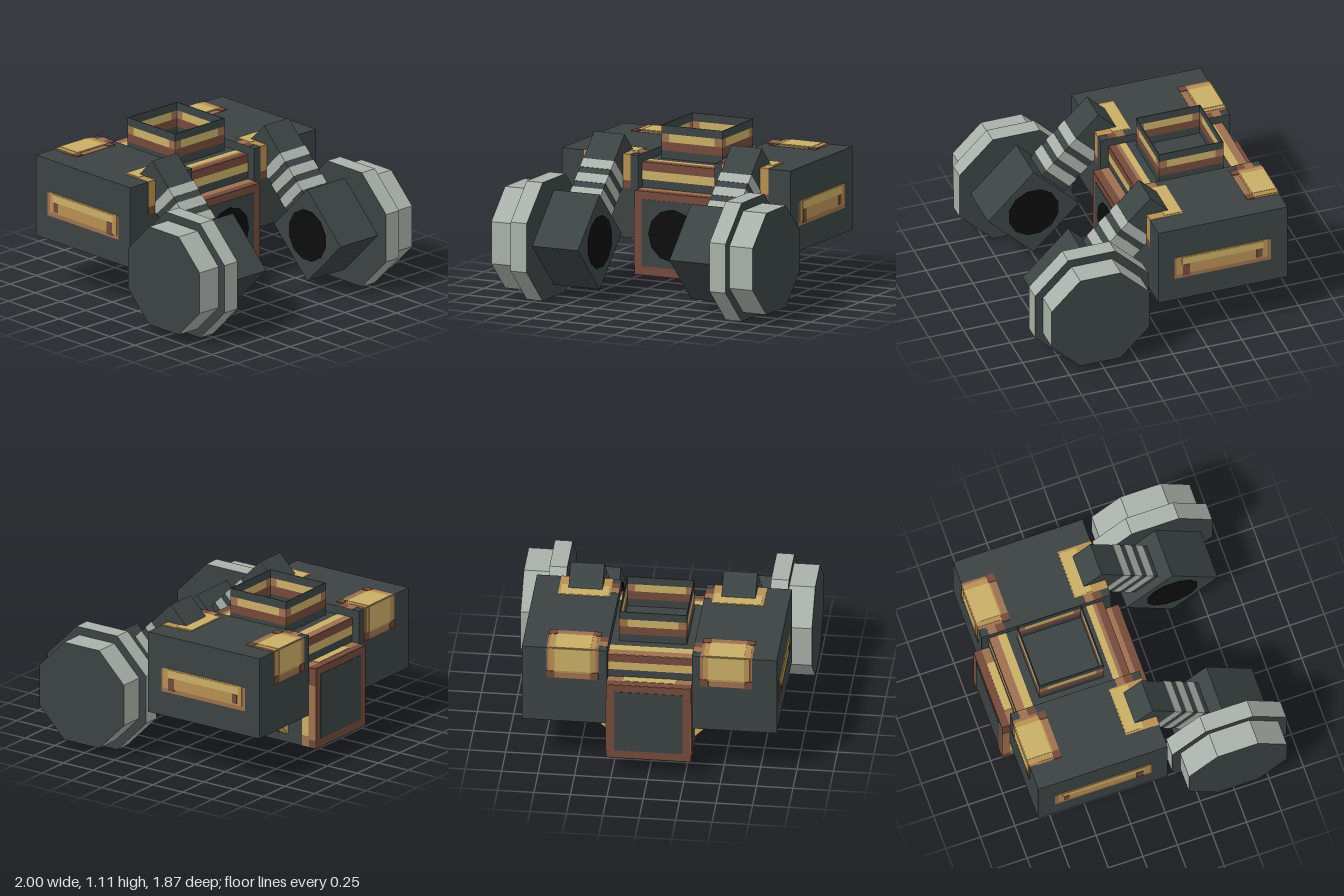
import * as THREE from 'three';

const mat = (name, color) => {
  const m = new THREE.MeshStandardMaterial({ color });
  m.name = name;
  return m;
};

export function createModel() {
  const root = new THREE.Group();
  root.name = 'machine';
  const dark = mat('dark slate', 0x3c4343);
  const gold = mat('gold', 0xc9ae67);
  const tan = mat('tan', 0xb68f52);
  const copper = mat('copper', 0x9c704f);
  const brown = mat('brown', 0x744a3b);
  const black = mat('black', 0x0d0d0d);
  const grey = mat('light grey', 0xa9b0a9);
  const openDark = mat('open dark slate', 0x3c4343);
  openDark.side = THREE.DoubleSide;

  const add = (name, geo, m, parent = root) => {
    const mesh = new THREE.Mesh(geo, m);
    mesh.name = name;
    parent.add(mesh);
    return mesh;
  };

  // box given by its range on each axis
  const box = (name, m, x, y, z, parent = root) => {
    const r = [x, y, z];
    const mesh = add(name, new THREE.BoxGeometry(...r.map(([a, b]) => Math.abs(b - a))), m, parent);
    mesh.position.set(...r.map(([a, b]) => (a + b) / 2));
    return mesh;
  };

  // thin painted plate on a face: axis, face coordinate, outward sign, two ranges
  const paint = (name, m, axis, at, sign, u, v, layer = 1) => {
    const t = [at, at + sign * 0.0025 * layer];
    if (axis === 'x') return box(name, m, t, u, v);
    if (axis === 'y') return box(name, m, u, t, v);
    return box(name, m, u, v, t);
  };

  // central body
  const W = [-0.29, 0.29];
  box('lowerBody', dark, W, [0.12, 0.70], [-0.93, 0.115]);
  box('upperBody', dark, W, [0.5, 0.878], [-0.82, 0]);
  for (const [at, s] of [[0.115, 1], [-0.93, -1]]) {
    paint('endFrame', brown, 'z', at, s, W, [0.12, 0.70]);
    paint('endPanel', dark, 'z', at, s, [-0.235, 0.235], [0.18, 0.648], 2);
  }
  const port = new THREE.CylinderGeometry(0.185, 0.185, 0.008, 12);
  const front = add('frontPort', port, black);
  front.rotation.set(Math.PI / 2, 0, 0);
  front.position.set(0, 0.41, 0.119);

  // trim bands across the step and top edges
  paint('stepTrim', brown, 'y', 0.70, 1, W, [0.06, 0.115]);
  paint('stepTrim', copper, 'y', 0.70, 1, W, [0, 0.06]);
  paint('stepTrim', brown, 'y', 0.70, 1, W, [-0.93, -0.877]);
  paint('stepTrim', copper, 'y', 0.70, 1, W, [-0.877, -0.82]);
  paint('stepTrim', gold, 'y', 0.70, 1, [-0.18, 0.18], [-0.877, -0.82], 2);
  paint('topTrim', brown, 'y', 0.878, 1, W, [-0.05, 0]);
  paint('topTrim', copper, 'y', 0.878, 1, W, [-0.075, -0.05]);
  paint('topTrim', gold, 'y', 0.878, 1, W, [-0.12, -0.075]);
  paint('topTrim', copper, 'y', 0.878, 1, W, [-0.82, -0.76]);
  paint('topTrim', gold, 'y', 0.878, 1, W, [-0.76, -0.70]);
  for (const [at, s] of [[0, 1], [-0.82, -1]]) {
    paint('riserTrim', brown, 'z', at, s, W, [0.82, 0.878]);
    paint('riserTrim', gold, 'z', at, s, W, [0.76, 0.82]);
  }
  paint('undersideTrim', brown, 'y', 0.12, -1, W, [0.06, 0.115]);

  // open square chimney with banded walls inside and out
  const cz = -0.4075, R = 0.233;
  for (let i = 0; i < 4; i++) {
    const wall = new THREE.Group();
    wall.name = 'chimneyWall';
    wall.position.set(0, 0, cz);
    wall.rotation.y = i * Math.PI / 2;
    root.add(wall);
    const band = (m, x, y, t) => box('chimneyBand', m, x, y, [R - t, R], wall);
    band(dark, [-R, R], [0.87, 0.935], 0.006);
    band(brown, [-R, R], [0.935, 0.995], 0.006);
    band(copper, [-R, -0.175], [0.995, 1.052], 0.006);
    band(copper, [0.175, R], [0.995, 1.052], 0.006);
    band(gold, [-0.175, 0.175], [0.995, 1.052], 0.006);
    band(dark, [-R, R], [1.052, 1.11], 0.006);
  }

  for (const s of [1, -1]) {
    const X = (a, b) => [s * a, s * b];

    // side pod
    box('sidePod', dark, X(0.292, 0.875), [0.355, 0.935], [-0.875, 0.06]);

    // worn patches wrapping the rear edge of the pod
    paint('rearPatchTop', copper, 'y', 0.935, 1, X(0.35, 0.706), [-0.875, -0.645]);
    paint('rearPatchTop', tan, 'y', 0.935, 1, X(0.37, 0.69), [-0.875, -0.69], 2);
    paint('rearPatchTop', gold, 'y', 0.935, 1, X(0.405, 0.65), [-0.875, -0.70], 3);
    paint('rearPatch', copper, 'z', -0.875, -1, X(0.35, 0.706), [0.70, 0.935]);
    paint('rearPatch', tan, 'z', -0.875, -1, X(0.37, 0.69), [0.745, 0.935], 2);
    paint('rearPatch', gold, 'z', -0.875, -1, X(0.405, 0.65), [0.76, 0.935], 3);
    for (const x of [X(0.35, 0.405), X(0.65, 0.706)]) {
      paint('patchCorner', brown, 'y', 0.935, 1, x, [-0.70, -0.645], 3);
      paint('patchCorner', brown, 'z', -0.875, -1, x, [0.70, 0.755], 3);
    }

    // patches around the arm root
    paint('frontPatchTop', tan, 'y', 0.935, 1, X(0.35, 0.706), [-0.18, 0.06]);
    paint('frontPatchTop', gold, 'y', 0.935, 1, X(0.36, 0.69), [-0.175, -0.05], 2);
    paint('frontPatch', tan, 'z', 0.06, 1, X(0.35, 0.706), [0.755, 0.935]);
    paint('frontPatch', brown, 'z', 0.06, 1, X(0.35, 0.706), [0.70, 0.755]);

    // links between patches and the central trim
    for (const [m, a, b] of [[copper, -0.82, -0.76], [brown, -0.76, -0.70], [copper, -0.12, -0.06], [brown, -0.06, 0]])
      paint('trimLink', m, 'y', 0.935, 1, X(0.292, 0.35), [a, b]);

    // long panel on the outer side
    const sx = s * 0.875;
    paint('sidePanel', copper, 'x', sx, s, [0.53, 0.70], [-0.755, -0.055]);
    paint('sidePanel', tan, 'x', sx, s, [0.56, 0.705], [-0.73, -0.07], 2);
    paint('sidePanel', gold, 'x', sx, s, [0.64, 0.695], [-0.70, -0.11], 3);
    paint('sidePanelWear', brown, 'x', sx, s, [0.545, 0.635], [-0.165, -0.115], 3);
    paint('sidePanelWear', brown, 'x', sx, s, [0.57, 0.635], [-0.69, -0.65], 3);

    // edge trim on the lower body sides
    const bx = s * 0.29;
    for (const z of [[0.06, 0.115], [-0.93, -0.875]]) {
      paint('cornerTrim', brown, 'x', bx, s, [0.12, 0.70], z);
      paint('cornerTrim', copper, 'x', bx, s, [0.18, 0.58], z, 2);
    }
    paint('cornerTrim', gold, 'x', bx, s, [0.12, 0.355], [0, 0.06]);
    paint('cornerTrim', gold, 'x', bx, s, [0.2, 0.355], [-0.875, -0.815]);
    paint('cornerTrim', copper, 'x', bx, s, [0.12, 0.2], [-0.875, -0.815]);

    // striped diagonal braces below the pod
    const tri = new THREE.Shape([[0.28, 0.17], [0.465, 0.355], [0.28, 0.355]].map(([x, y]) => new THREE.Vector2(s * x, y)));
    for (const z0 of [-0.29, -0.70]) {
      [gold, brown, gold].forEach((m, i) => {
        const z = z0 + i * 0.0585;
        const geo = new THREE.ExtrudeGeometry(tri, { depth: 0.0585, bevelEnabled: false });
        add('brace', geo, m).position.z = z;
        if (m === gold) paint('braceStripe', m, 'y', 0.355, -1, X(0.465, 0.64), [z, z + 0.0585]);
      });
    }

    // arm tilted forward, with a striped link and a square hand block
    const arm = new THREE.Group();
    arm.name = s > 0 ? 'leftArm' : 'rightArm';
    arm.position.set(s * 0.525, 0.4125, 0.525);
    arm.rotation.x = -Math.PI / 4;
    root.add(arm);
    const h = 0.2335, L = 0.1165;
    box('handBlock', dark, [-0.175, 0.175], [-h, h], [-h, h], arm);
    box('armLink', dark, [-L, L], [h, 0.81], [-L, L], arm);
    for (const d of [0.226, 0.343, 0.46]) {
      const e = L + 0.003;
      box('armStripe', grey, [-e, e], [0.81 - d - 0.07, 0.81 - d], [-e, e], arm);
    }
    const hole = add('handPort', port, black, arm);
    hole.rotation.z = Math.PI / 2;
    hole.position.x = -s * 0.175;

    // stepped octagonal wheel
    const wheel = (name, apothem, a, b) => {
      const r = apothem / Math.cos(Math.PI / 8);
      const geo = new THREE.CylinderGeometry(r, r, b - a, 8).toNonIndexed();
      geo.rotateY(Math.PI / 8);
      geo.computeVertexNormals();
      const m = add(name, geo, [grey, dark, dark]);
      m.rotation.z = Math.PI / 2;
      m.position.set(s * (a + b) / 2, 0.4125, 0.525);
    };
    wheel('wheel', 0.4125, 0.70, 0.822);
    wheel('wheelHub', 0.354, 0.82, 1.0);
  }
  return root;
}
